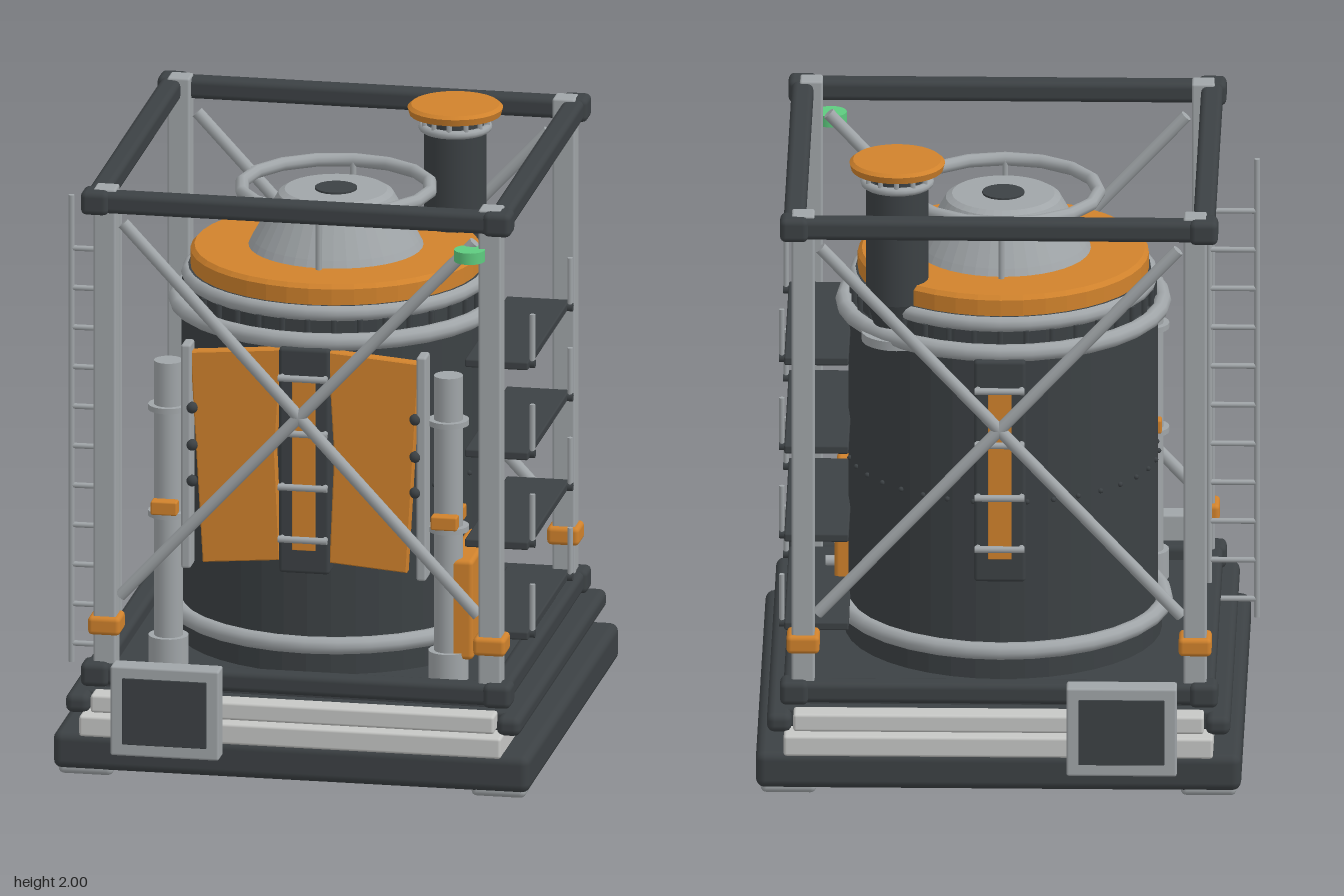
import * as THREE from 'three';
import { RoundedBoxGeometry } from 'three/addons/geometries/RoundedBoxGeometry.js';

const mat = (name, color) => {
  const m = new THREE.MeshStandardMaterial({ color });
  m.name = name;
  return m;
};

export function createModel() {
  const dark = mat('darkSteel', 0x3c4144);
  const grey = mat('greyMetal', 0xa0a5a8);
  const light = mat('lightTrim', 0xc6c7c5);
  const orange = mat('orangePaint', 0xd0822c);
  const green = mat('greenLamp', 0x5ecb7f);

  const model = new THREE.Group();
  model.name = 'reactorModule';
  const body = new THREE.Group();
  body.name = 'assembly';
  body.position.x = 0.02; // the side ladder shifts the overall centre
  model.add(body);

  const add = (name, geo, m, x = 0, y = 0, z = 0) => {
    const mesh = new THREE.Mesh(geo, m);
    mesh.name = name;
    mesh.position.set(x, y, z);
    body.add(mesh);
    return mesh;
  };
  // Rounded box given by its min and max on each axis
  const box = (name, m, x0, x1, y0, y1, z0, z1, r = 0.01) =>
    add(name, new RoundedBoxGeometry(x1 - x0, y1 - y0, z1 - z0, 2, r), m,
      (x0 + x1) / 2, (y0 + y1) / 2, (z0 + z1) / 2);
  const cyl = (name, m, r, y0, y1, x = 0, z = 0, seg = 20, rBottom = r) =>
    add(name, new THREE.CylinderGeometry(r, rBottom, y1 - y0, seg), m, x, (y0 + y1) / 2, z);
  // Round bar between two points
  const bar = (name, m, a, b, r, seg = 10) => {
    const p = new THREE.Vector3(...a), d = new THREE.Vector3(...b).sub(p);
    const mesh = add(name, new THREE.CylinderGeometry(r, r, d.length(), seg), m);
    mesh.position.copy(p).addScaledVector(d, 0.5);
    mesh.quaternion.setFromUnitVectors(new THREE.Vector3(0, 1, 0), d.normalize());
    return mesh;
  };
  const ring = (name, m, R, t, y, x = 0, z = 0, seg = 32) => {
    const g = new THREE.TorusGeometry(R, t, 10, seg);
    g.rotateX(Math.PI / 2);
    return add(name, g, m, x, y, z);
  };
  const lathe = (name, m, pts, seg = 40) => {
    const g = new THREE.LatheGeometry(pts.map(p => new THREE.Vector2(...p)), seg).toNonIndexed();
    g.computeVertexNormals();
    return add(name, g, m);
  };
  const signs = [-1, 1];

  // Base, feet and stepped trim
  box('base', dark, -0.78, 0.78, 0.02, 0.145, -0.78, 0.78, 0.03);
  box('trimSlab', light, -0.69, 0.69, 0.135, 0.205, -0.74, 0.74);
  box('deckStep', dark, -0.72, 0.72, 0.2, 0.265, -0.69, 0.69);
  box('deck', dark, -0.64, 0.64, 0.25, 0.305, -0.64, 0.64);
  for (const s of signs) {
    box('lowerRail', light, -0.69, 0.69, 0.138, 0.208, s * 0.755 - 0.04, s * 0.755 + 0.04);
    box('upperRail', light, -0.66, 0.66, 0.208, 0.268, s * 0.715 - 0.04, s * 0.715 + 0.04);
    box('sideStep', dark, s * 0.705 - 0.04, s * 0.705 + 0.04, 0.2, 0.265, -0.75, 0.75, 0.025);
    for (const t of signs)
      box('foot', grey, s * 0.675 - 0.09, s * 0.675 + 0.09, 0, 0.055, t * 0.675 - 0.09, t * 0.675 + 0.09, 0.02);
  }

  // Framed display panels at front and back
  for (const s of signs) {
    box('displayFrame', grey, -0.575, -0.22, 0.1, 0.4, s * 0.82 - 0.038, s * 0.82 + 0.038, 0.008);
    box('displayFace', dark, -0.535, -0.26, 0.14, 0.362, s * 0.858 - 0.004, s * 0.858 + 0.004, 0.002);
  }

  // Outer frame: beams, corner blocks, posts, collars
  for (const y of [0.317, 1.898]) {
    for (const s of signs) {
      const c = s * 0.658;
      box('frameBeam', dark, -0.67, 0.67, y - 0.035, y + 0.035, c - 0.035, c + 0.035, 0.02);
      box('frameBeam', dark, c - 0.035, c + 0.035, y - 0.035, y + 0.035, -0.67, 0.67, 0.02);
      for (const t of signs)
        box('cornerBlock', dark, c - 0.046, c + 0.046, y - 0.04, y + 0.04, t * 0.658 - 0.046, t * 0.658 + 0.046, 0.02);
    }
  }
  for (const s of signs) for (const t of signs) {
    const x = s * 0.63, z = t * 0.633;
    box('post', grey, x - 0.037, x + 0.037, 0.3, 1.941, z - 0.037, z + 0.037, 0.008);
    box('postCollar', orange, x - 0.053, x + 0.053, 0.447, 0.508, z - 0.053, z + 0.053, 0.015);
  }
  // Crossed braces at front and back
  for (const t of signs) for (const s of signs)
    bar('crossBrace', grey, [-s * 0.575, 1.82, t * 0.633], [s * 0.585, 0.57, t * 0.633], 0.02);

  // Vessel and its rings
  lathe('vessel', dark, [[0, 0.3], [0.51, 0.3], [0.51, 0.375], [0.497, 0.4], [0.497, 1.42], [0.475, 1.43], [0.475, 1.53], [0, 1.53]]);
  ring('bottomFlange', grey, 0.517, 0.028, 0.403);
  ring('shoulderRing', grey, 0.512, 0.028, 1.42);
  ring('upperRing', grey, 0.472, 0.026, 1.505);
  lathe('lid', orange, [[0.4, 1.52], [0.468, 1.52], [0.468, 1.583], [0.455, 1.597], [0, 1.597]]);
  lathe('cone', grey, [[0.285, 1.59], [0.27, 1.62], [0.185, 1.77], [0.165, 1.782], [0, 1.782]]);
  cyl('coneCap', dark, 0.068, 1.77, 1.788);
  ring('handRing', grey, 0.307, 0.022, 1.788, 0, 0, 16);
  for (const s of signs) bar('ringSupport', grey, [0, 1.59, s * 0.295], [0, 1.79, s * 0.295], 0.01);
  for (let i = 0; i < 36; i++) {
    const a = (i / 36) * Math.PI * 2, c = Math.cos(a), n = Math.sin(a);
    add('seamBolt', new THREE.SphereGeometry(0.009, 6, 4), dark, c * 0.499, 0.905, n * 0.499);
    cyl('lidBolt', dark, 0.01, 1.43, 1.485, c * 0.485, n * 0.485, 6);
  }

  // Exhaust stack with raised cap
  const sx = 0.335, sz = -0.29;
  cyl('stack', dark, 0.101, 1.53, 1.93, sx, sz, 24);
  cyl('stackFoot', dark, 0.101, 1.4, 1.53, sx, sz, 24, 0.065);
  cyl('stackFootFlange', grey, 0.115, 1.385, 1.415, sx, sz, 24);
  ring('stackRing', grey, 0.105, 0.014, 1.925, sx, sz, 24);
  cyl('stackNeck', dark, 0.08, 1.92, 1.965, sx, sz, 20);
  for (let i = 0; i < 12; i++) {
    const a = (i / 12) * Math.PI * 2;
    cyl('capPin', grey, 0.009, 1.92, 1.965, sx + Math.cos(a) * 0.105, sz + Math.sin(a) * 0.105, 6);
  }
  cyl('stackCap', orange, 0.154, 1.968, 1.99, sx, sz, 32, 0.148);
  cyl('stackCapTop', orange, 0.142, 1.99, 2.0, sx, sz, 32, 0.154);

  // Central rung panels, front and back
  for (const t of signs) {
    box('rungPanel', dark, -0.083, 0.083, 0.65, 1.405, t * 0.51 - 0.04, t * 0.51 + 0.04, 0.012);
    box('rungStripe', orange, -0.038, 0.038, 0.73, 1.31, t * 0.551 - 0.004, t * 0.551 + 0.004, 0.002);
    for (const y of [0.77, 0.945, 1.125, 1.31]) {
      bar('rung', grey, [-0.08, y, t * 0.572], [0.08, y, t * 0.572], 0.011);
      for (const s of signs) bar('rungMount', grey, [s * 0.07, y, t * 0.53], [s * 0.07, y, t * 0.572], 0.009);
    }
  }

  // Front doors, hinge bars and side pipes
  for (const s of signs) {
    const door = new THREE.Shape([[0.08, 1.392], [0.37, 1.368], [0.33, 0.672], [0.085, 0.692], [0.1, 1.05]]
      .map(([x, y]) => new THREE.Vector2(s * x, y)));
    add('door', new THREE.ExtrudeGeometry(door, { depth: 0.034, bevelThickness: 0.004, bevelSize: 0.004, bevelSegments: 1 }),
      orange, 0, 0, 0.5);
    box('hingeBar', grey, s * 0.385 - 0.016, s * 0.385 + 0.016, 0.65, 1.4, 0.485, 0.56, 0.008);
    for (const y of [0.945, 1.065, 1.19])
      add('hingeKnob', new THREE.SphereGeometry(0.019, 10, 8), dark, s * 0.365, y, 0.555);

    const px = s * 0.458, pz = 0.47;
    cyl('pipe', grey, 0.047, 0.3, 1.32, px, pz, 20);
    cyl('pipeFoot', grey, 0.065, 0.3, 0.4, px, pz, 20);
    for (const y of [0.81, 1.165]) cyl('pipeRing', grey, 0.066, y - 0.009, y + 0.009, px, pz, 20);
    for (const t of signs)
      box('pipeClamp', orange, px - 0.043, px + 0.043, 0.822, 0.868, pz + t * 0.065 - 0.022, pz + t * 0.065 + 0.022, 0.006);
  }

  // Control box on the left side
  box('controlBox', orange, 0.455, 0.545, 0.378, 0.712, 0.078, 0.51, 0.015);
  box('controlPlate', grey, 0.54, 0.549, 0.512, 0.64, 0.19, 0.39, 0.002);
  for (const y of [0.45, 0.55, 0.66]) {
    bar('controlKnob', grey, [0.54, y, 0.195], [0.575, y, 0.195], 0.018);
  }

  // Shelves with upright rods
  for (const y of [0.425, 0.727, 1.028, 1.33]) {
    box('shelf', dark, 0.49, 0.697, y - 0.014, y + 0.014, -0.357, 0.362, 0.006);
    for (const z of [-0.32, 0.325]) {
      bar('shelfRod', grey, [0.705, y - 0.01, z], [0.705, y + 0.165, z], 0.009);
      bar('shelfPeg', dark, [0.66, y, z], [0.714, y, z], 0.014);
    }
  }

  // Ladder standing out from the right side
  for (const x of [-0.81, -0.655]) bar('ladderRail', grey, [x, 0.235, 0.287], [x, 1.8, 0.287], 0.01);
  for (let i = 0; i < 11; i++) {
    const y = 0.297 + i * 0.1325;
    bar('ladderRung', grey, [-0.81, y, 0.287], [-0.655, y, 0.287], 0.009);
  }

  // Signal lamp on the front corner
  cyl('signalLamp', green, 0.05, 1.772, 1.81, 0.567, 0.68, 24);

  return model;
}
